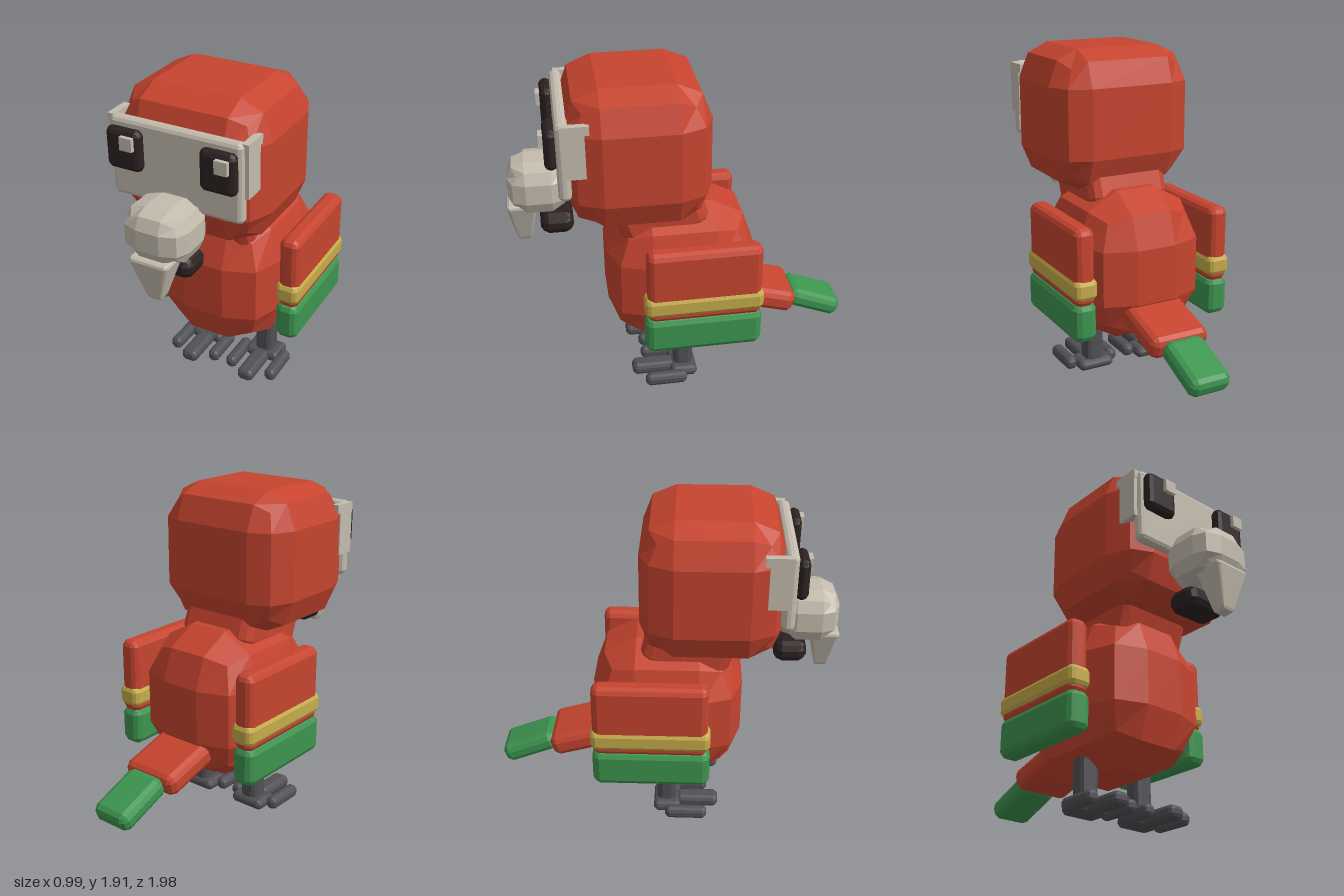
import * as THREE from 'three';

const mat = (name, color) => {
  const m = new THREE.MeshStandardMaterial({ color });
  m.name = name;
  return m;
};

// Faceted rounded box: h = half sizes, g = inner line inset,
// e = edge inset, k = corner inset (each a number or an [x, y, z] triple)
function blob(h, g, e = g * 0.35, k = g * 0.55) {
  const geo = new THREE.BoxGeometry(2, 2, 2, 3, 3, 3).toNonIndexed();
  const p = geo.attributes.position;
  const pick = (v, i) => (Array.isArray(v) ? v[i] : v);
  for (let i = 0; i < p.count; i++) {
    const c = [p.getX(i), p.getY(i), p.getZ(i)];
    const outer = c.filter((v) => Math.abs(v) > 0.9).length;
    const inset = [0, 0, e, k][outer];
    const q = c.map((v, a) =>
      Math.sign(v) * (h[a] - (Math.abs(v) > 0.9 ? pick(inset, a) : pick(g, a))));
    p.setXYZ(i, ...q);
  }
  geo.computeVertexNormals();
  return geo;
}

export function createModel() {
  const root = new THREE.Group();
  root.name = 'parrot';
  const red = mat('red feathers', 0xc6442f);
  const green = mat('green feathers', 0x3d9550);
  const yellow = mat('yellow feathers', 0xc6ac4a);
  const cream = mat('cream', 0xc4bcae);
  const black = mat('eye black', 0x2c2121);
  const grey = mat('leg grey', 0x515156);

  const add = (name, geo, material, pos, rx = 0, parent = root) => {
    const m = new THREE.Mesh(geo, material);
    m.name = name;
    m.position.set(...pos);
    m.rotation.x = rx;
    parent.add(m);
    return m;
  };
  // Rounded box from its minimum and maximum corners
  const box = (name, material, lo, hi, g, parent = root) =>
    add(name, blob(hi.map((v, i) => (v - lo[i]) / 2), g), material,
      hi.map((v, i) => (v + lo[i]) / 2), 0, parent);

  // Body, neck and head
  add('body', blob([0.365, 0.445, 0.43], [0.245, 0.285, 0.25], [0.065, 0.1, 0.065], [0.12, 0.14, 0.12]),
    red, [0, 0.693, 0.028]);
  add('neck', blob([0.25, 0.17, 0.25], 0.06), red, [0, 1.12, 0.15], 0.35);
  add('head', blob([0.43, 0.4, 0.393], [0.18, 0.2, 0.19], [0.058, 0.057, 0.055], 0.1),
    red, [0, 1.515, 0.268]);

  // Face plate with side flaps
  box('facePlate', cream, [-0.38, 1.34, 0.635], [0.38, 1.785, 0.705], 0.025);
  for (const s of [-1, 1]) {
    const flap = new THREE.Group();
    flap.name = 'faceFlap';
    root.add(flap);
    add('flapPanel', new THREE.BoxGeometry(0.04, 0.295, 0.12), cream, [s * 0.382, 1.633, 0.615], 0, flap);
    add('flapTab', new THREE.BoxGeometry(0.04, 0.05, 0.15), cream, [s * 0.382, 1.756, 0.605], 0, flap);

    // Eyes, both glints shifted the same way
    const x = s * 0.268;
    box('eye', black, [x - 0.102, 1.518, 0.695], [x + 0.102, 1.748, 0.765], 0.03);
    add('eyeGlint', new THREE.BoxGeometry(0.072, 0.072, 0.04), cream, [x + 0.038, 1.684, 0.767]);
  }

  // Beak: round top, tapering tip, dark lower half
  add('beakTop', blob([0.18, 0.147, 0.17], [0.115, 0.09, 0.1], [0.03, 0.025, 0.03], 0.055),
    cream, [0, 1.287, 0.81]);
  const tip = blob([0.12, 0.127, 0.088], 0.02);
  const tp = tip.attributes.position;
  for (let i = 0; i < tp.count; i++) {
    const t = (tp.getY(i) + 0.127) / 0.254;
    tp.setX(i, tp.getX(i) * (0.32 + 0.68 * t));
    tp.setZ(i, tp.getZ(i) * (0.4 + 0.6 * t));
  }
  tip.computeVertexNormals();
  add('beakTip', tip, cream, [0, 1.057, 0.91]);
  box('lowerBeak', black, [-0.135, 0.99, 0.63], [0.135, 1.118, 0.815], 0.045);

  for (const s of [-1, 1]) {
    // Wing in three colour bands
    const wing = new THREE.Group();
    wing.name = s > 0 ? 'leftWing' : 'rightWing';
    wing.position.x = s * 0.427;
    root.add(wing);
    box('wingTop', red, [-0.06, 0.57, -0.385], [0.06, 1.02, 0.262], 0.035, wing);
    box('wingBand', yellow, [-0.07, 0.61, -0.397], [0.07, 0.735, 0.278], 0.03, wing);
    box('wingTip', green, [-0.07, 0.364, -0.39], [0.07, 0.597, 0.278], 0.04, wing);

    // Leg and three-toed foot
    const leg = new THREE.Group();
    leg.name = s > 0 ? 'leftLeg' : 'rightLeg';
    leg.position.x = s * 0.194;
    root.add(leg);
    box('shin', grey, [-0.058, 0.02, -0.03], [0.058, 0.4, 0.085], 0.03, leg);
    box('footPlate', grey, [-0.11, 0.005, -0.05], [0.11, 0.07, 0.11], 0.025, leg);
    for (const t of [-1, 0, 1]) {
      const tx = t * 0.132, w = t ? 0.036 : 0.052, front = t ? 0.27 : 0.337;
      box('toe', grey, [tx - w, 0, front - 0.25], [tx + w, 0.076, front], 0.025, leg);
    }
  }

  // Two-part drooping tail
  add('tailBase', blob([0.18, 0.068, 0.21], 0.04), red, [0, 0.43, -0.475], -0.28);
  add('tailTip', blob([0.125, 0.06, 0.175], 0.04), green, [0, 0.322, -0.82], -0.38);

  return root;
}
